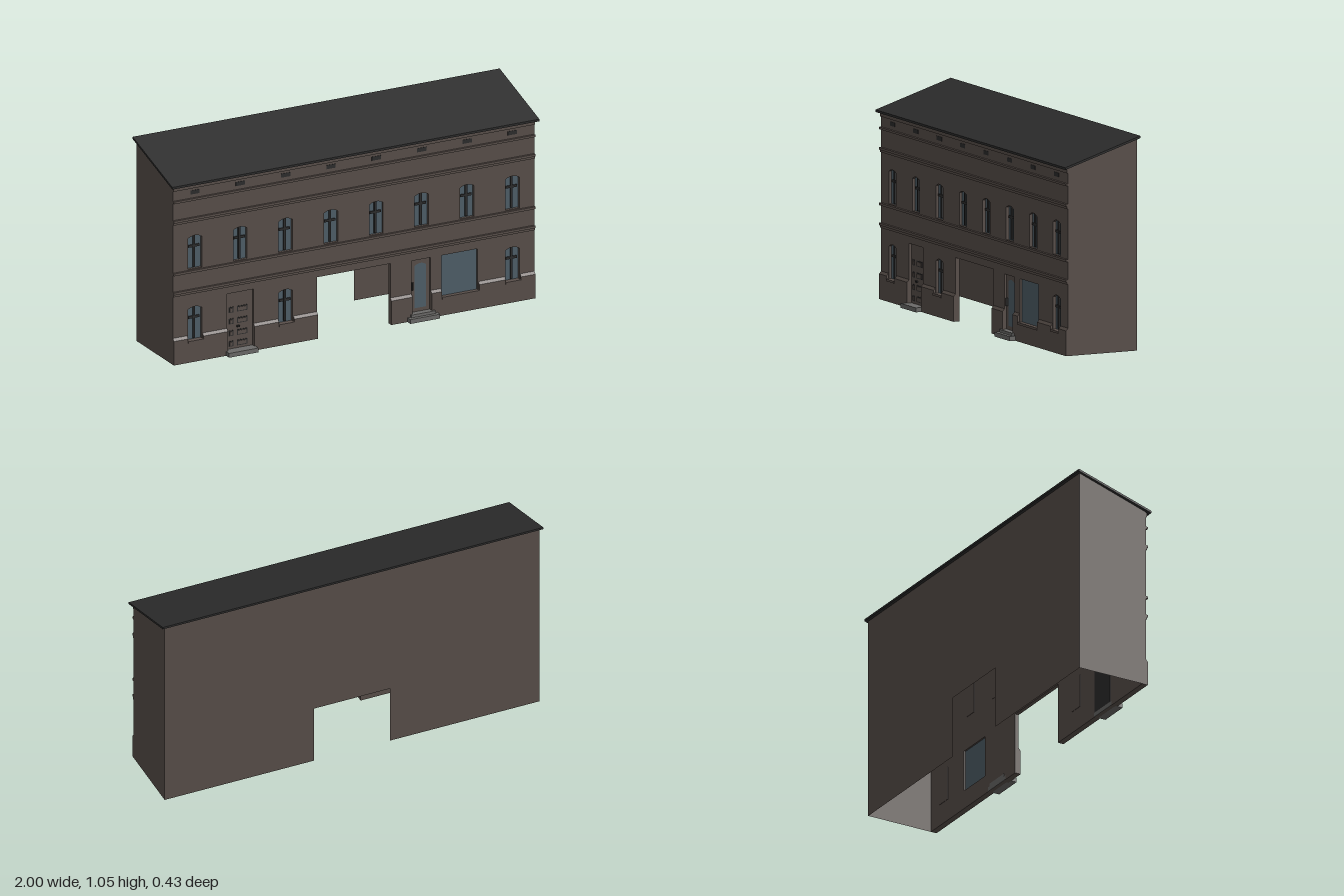
import * as THREE from 'three';

const mat = (name, color, side = THREE.FrontSide) =>
  Object.assign(new THREE.MeshStandardMaterial({ color, side }), { name });

export function createModel() {
  const wall = mat('brown plaster', 0x5a504b, THREE.DoubleSide);
  const dark = mat('dark slate', 0x2d2d2d);
  const glass = mat('window glass', 0x50606a, THREE.DoubleSide);
  const stone = mat('grey stone', 0x6c6b69);
  const root = new THREE.Group();
  const W = 0.985, FRONT = 0.172, BACK = -0.2, INNER = 0.152;

  const add = (name, geometry, material, parent = root) => {
    const m = new THREE.Mesh(geometry, material);
    m.name = name;
    parent.add(m);
    return m;
  };
  // Box given by its limits on each axis
  const box = (name, x0, x1, y0, y1, z0, z1, material, parent) =>
    add(name, new THREE.BoxGeometry(x1 - x0, y1 - y0, z1 - z0), material, parent)
      .position.set((x0 + x1) / 2, (y0 + y1) / 2, (z0 + z1) / 2);
  // Closed (z, y) profile swept along x
  const sweep = (name, pts, x0, x1, material) => {
    const s = new THREE.Shape(pts.map(([z, y]) => new THREE.Vector2(-z, y)));
    const g = new THREE.ExtrudeGeometry(s, { depth: x1 - x0, bevelEnabled: false });
    g.rotateY(Math.PI / 2).translate(x0, 0, 0);
    return add(name, g, material);
  };
  const rect = (x0, x1, y0, y1, rise = 0) => {
    const s = new THREE.Shape();
    s.moveTo(x0, y0);
    s.lineTo(x1, y0);
    s.lineTo(x1, y1 - rise);
    if (rise) s.quadraticCurveTo((x0 + x1) / 2, y1 + rise, x0, y1 - rise);
    else s.lineTo(x0, y1);
    s.closePath();
    return s;
  };
  // Wall outline with the passage cut out of its foot
  const outline = (top) => new THREE.Shape([
    [-W, 0], [-0.2, 0], [-0.2, 0.312], [0.2, 0.312], [0.2, 0], [W, 0], [W, top], [-W, top],
  ].map(([x, y]) => new THREE.Vector2(x, y)));

  // Opening positions
  const upper = Array.from({ length: 8 }, (_, i) => -0.865 + i * 0.2471);
  const lower = [-0.865, -0.37, 0.865];
  const windows = [...upper.map((x) => [x, 0.475, 0.645]), ...lower.map((x) => [x, 0.11, 0.28])];
  const half = 0.038;
  const leftDoor = [-0.69, -0.545, 0.02, 0.312];
  const rightDoor = [0.315, 0.42, 0.03, 0.305];
  const shop = [0.48, 0.675, 0.095, 0.305];

  // Front wall with holes
  const face = outline(0.912);
  for (const [x, y0, y1] of windows) face.holes.push(rect(x - half, x + half, y0, y1, 0.012));
  for (const r of [leftDoor, rightDoor, shop]) face.holes.push(rect(...r));
  add('frontWall', new THREE.ExtrudeGeometry(face,
    { depth: FRONT - INNER, bevelEnabled: false, curveSegments: 6 }), wall).position.z = INNER;

  // Back and side walls
  add('backWall', new THREE.ShapeGeometry(outline(1.033)).rotateY(Math.PI), wall).position.z = BACK;
  for (const side of [-1, 1]) {
    const s = new THREE.Shape([[-FRONT, 0], [-BACK, 0], [-BACK, 1.033], [-FRONT, 0.915]]
      .map(([x, y]) => new THREE.Vector2(x, y)));
    add(side > 0 ? 'leftWall' : 'rightWall', new THREE.ShapeGeometry(s).rotateY(Math.PI / 2), wall)
      .position.x = side * W;
  }

  // Sloping roof
  sweep('roof', [[0.195, 0.91], [0.195, 0.921], [-0.212, 1.047], [-0.212, 1.036]], -1, 1, dark);

  // Windows: glass, backing, mullion and transom
  for (const [x, y0, y1] of windows) {
    const g = new THREE.Group();
    g.name = 'window';
    root.add(g);
    box('glassPane', x - half, x + half, y0, y1, 0.155, 0.157, glass, g);
    box('backing', x - half, x + half, y0, y1, 0.15, 0.152, wall, g);
    box('mullion', x - 0.006, x + 0.006, y0 + 0.005, y1, 0.157, 0.164, dark, g);
    box('transom', x - 0.03, x + 0.03, y1 - 0.063, y1 - 0.051, 0.157, 0.163, dark, g);
  }
  for (const x of lower) box('windowSill', x - 0.042, x + 0.042, 0.099, 0.11, 0.16, 0.187, wall);

  // Shop window
  box('shopGlass', shop[0], shop[1], shop[2], shop[3], 0.16, 0.163, glass);
  box('shopSill', 0.475, 0.68, 0.083, 0.095, 0.16, 0.187, wall);

  // Left door with raised panels in dark surrounds
  box('leftDoorLeaf', leftDoor[0], leftDoor[1], 0.02, 0.312, 0.156, 0.16, wall);
  box('leftDoorBacking', leftDoor[0], leftDoor[1], 0.02, 0.312, 0.15, 0.154, dark);
  for (const y of [0.048, 0.102, 0.163, 0.222]) {
    for (const [x, w] of [[-0.663, 0.026], [-0.602, 0.056]]) {
      box('panelSurround', x - w / 2, x + w / 2, y - 0.014, y + 0.014, 0.16, 0.162, dark);
      box('doorPanel', x - w / 2 + 0.005, x + w / 2 - 0.005, y - 0.009, y + 0.009, 0.16, 0.165, wall);
    }
  }
  box('leftDoorHandle', -0.632, -0.618, 0.13, 0.138, 0.16, 0.17, dark);

  // Right door with tall glass
  box('rightDoorLeaf', rightDoor[0], rightDoor[1], 0.03, 0.305, 0.152, 0.16, wall);
  add('rightDoorGlass', new THREE.ShapeGeometry(rect(0.337, 0.4, 0.055, 0.283, 0.012)), glass)
    .position.z = 0.162;
  box('rightDoorHandle', 0.322, 0.328, 0.15, 0.19, 0.16, 0.17, dark);

  // Stone steps
  box('leftStep', -0.7, -0.54, 0, 0.022, 0.15, 0.213, stone);
  box('rightLowerStep', 0.288, 0.45, 0, 0.022, 0.15, 0.213, stone);
  box('rightUpperStep', 0.303, 0.436, 0.022, 0.036, 0.15, 0.194, stone);

  // Plinth with chamfered top, lower beneath the windows
  const plinths = [[-W, -0.907], [-0.823, -0.69], [-0.545, -0.412], [-0.328, -0.2],
    [0.2, 0.315], [0.42, 0.475], [0.68, 0.823], [0.907, W]];
  for (const [a, b] of plinths)
    sweep('plinth', [[0.17, 0], [0.183, 0], [0.183, 0.123], [0.17, 0.138]], a, b, wall);
  for (const x of lower) box('plinthUnderWindow', x - 0.042, x + 0.042, 0, 0.099, 0.17, 0.183, wall);
  box('plinthUnderShop', 0.475, 0.68, 0, 0.083, 0.17, 0.183, wall);

  // String courses and eaves moulding: bottom, top, projection
  for (const [y0, y1, z] of [[0.348, 0.36, 0.178], [0.36, 0.372, 0.184], [0.458, 0.47, 0.184],
    [0.716, 0.728, 0.178], [0.728, 0.74, 0.184], [0.828, 0.839, 0.184], [0.89, 0.911, 0.178]])
    box('stringCourse', -W, W, y0, y1, 0.17, z, wall);

  // Attic vents under the eaves
  for (const x of upper) {
    box('vent', x - 0.025, x + 0.025, 0.858, 0.878, 0.171, 0.174, dark);
  }
  return root;
}
